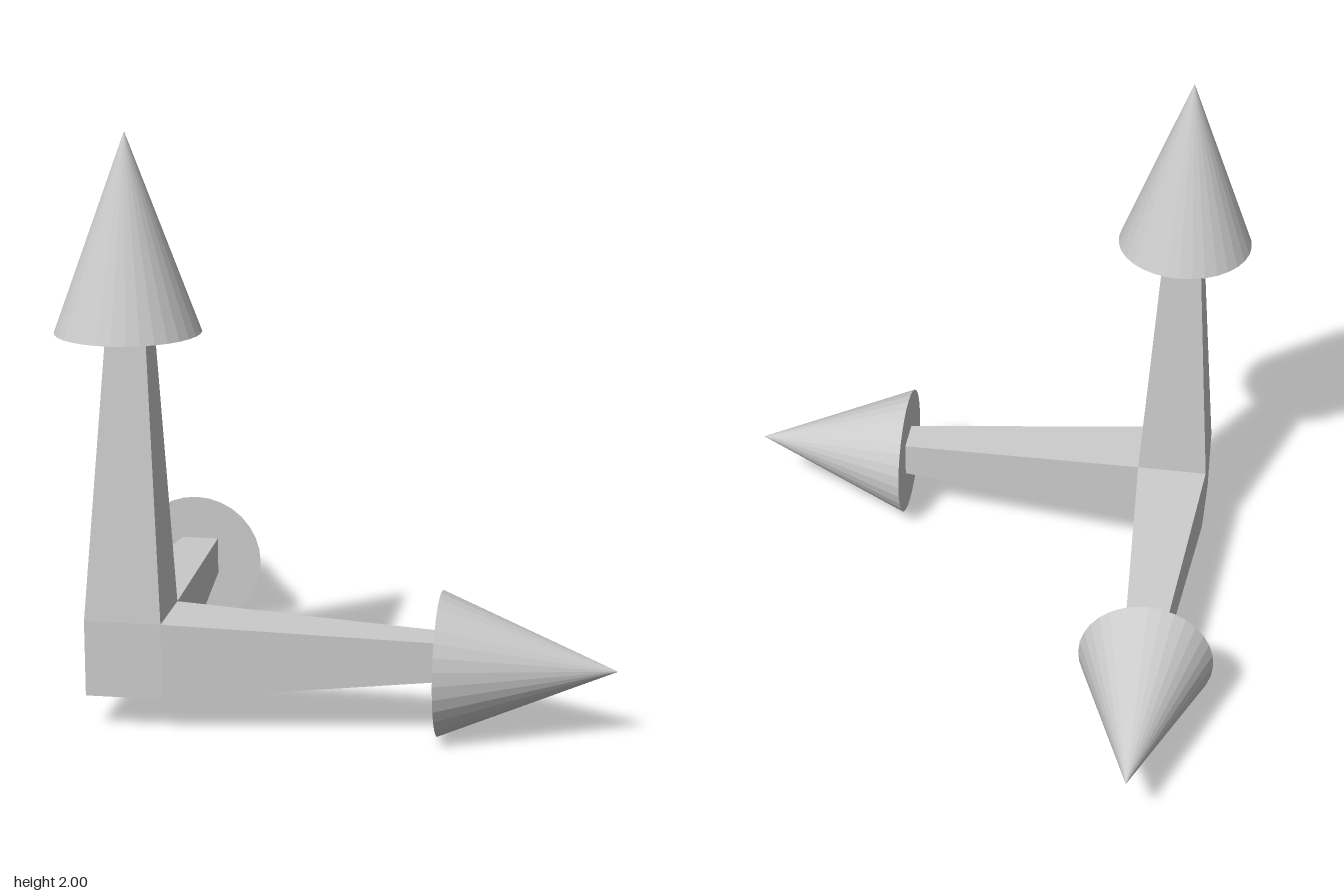
import * as THREE from 'three';

const CORNER = new THREE.Vector3(-0.699, 0.249, 0.727); // centre of the corner block
const HALF = 0.13; // half width of the block
const TIP_HALF = 0.067; // half width of a shaft at its arrowhead

const material = new THREE.MeshStandardMaterial({ color: 0xcccccc, flatShading: true });

// Cube without the listed faces (0..5 = +x, -x, +y, -y, +z, -z)
function openBox(skip) {
  const box = new THREE.BoxGeometry(2 * HALF, 2 * HALF, 2 * HALF);
  const index = Array.from(box.index.array).filter((_, i) => !skip.includes(Math.floor(i / 6)));
  box.setIndex(index);
  box.clearGroups();
  return box;
}

// Square shaft running from a block face to `end`, the centre of its narrow end
function shaftGeometry(axis, sign, end) {
  const geometry = openBox([2 * axis, 2 * axis + 1]);
  const p = geometry.attributes.position;
  const v = new THREE.Vector3();
  for (let i = 0; i < p.count; i++) {
    v.fromBufferAttribute(p, i);
    if (v.getComponent(axis) * sign > 0) {
      v.multiplyScalar(TIP_HALF / HALF).setComponent(axis, 0).add(end);
    } else {
      // near end sits on the face of the block
      v.setComponent(axis, sign * HALF).add(CORNER);
    }
    p.setXYZ(i, v.x, v.y, v.z);
  }
  geometry.computeVertexNormals();
  return geometry;
}

export function createModel() {
  const group = new THREE.Group();
  const add = (name, geometry) => {
    const mesh = new THREE.Mesh(geometry, material);
    mesh.name = name;
    group.add(mesh);
    return mesh;
  };

  // Corner block, open where the shafts leave it
  add('cornerBlock', openBox([0, 2, 5])).position.copy(CORNER);

  // Three arms: shaft end, arrowhead base centre and arrowhead length
  const arms = [
    { name: 'side', axis: 0, sign: 1, end: [0.35, 0.265, 0.711], head: [0.35, 0.247, 0.727], length: 0.588 },
    { name: 'upright', axis: 1, sign: 1, end: [-0.686, 1.34, 0.715], head: [-0.689, 1.34, 0.728], length: 0.66 },
    { name: 'rear', axis: 2, sign: -1, end: [-0.687, 0.264, -0.333], head: [-0.7, 0.247, -0.333], length: 0.637 },
  ];
  const up = new THREE.Vector3(0, 1, 0);
  for (const { name, axis, sign, end, head, length } of arms) {
    add(name + 'Shaft', shaftGeometry(axis, sign, new THREE.Vector3(...end)));
    const cone = new THREE.ConeGeometry(0.243, length, 32);
    cone.translate(0, length / 2, 0);
    const arrowhead = add(name + 'Arrowhead', cone);
    const direction = new THREE.Vector3().setComponent(axis, sign);
    arrowhead.quaternion.setFromUnitVectors(up, direction);
    arrowhead.position.set(...head);
  }
  return group;
}
